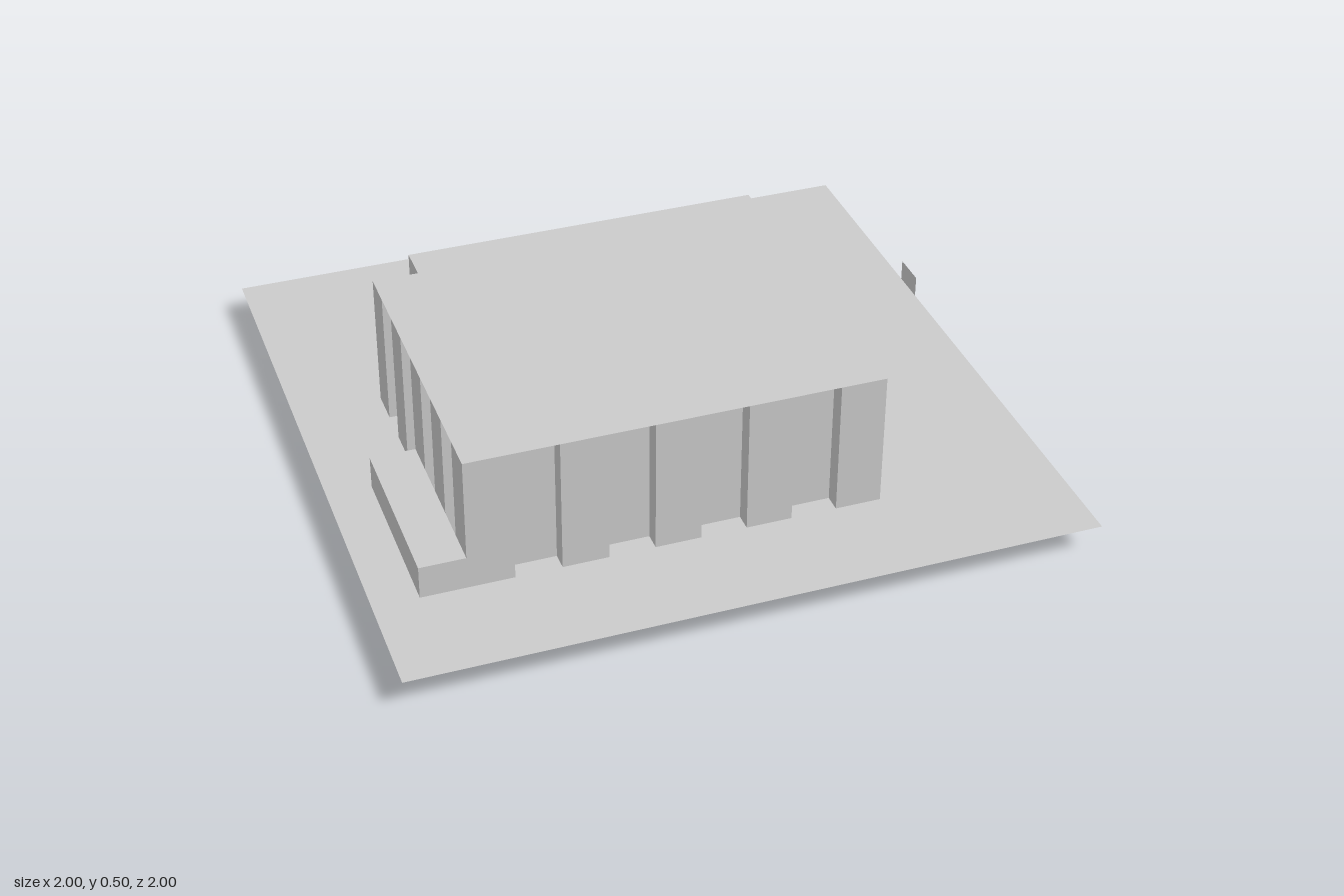
import * as THREE from 'three';

const mat = new THREE.MeshStandardMaterial({ color: 0xcccccc, side: THREE.DoubleSide, flatShading: true });
const G = 0.095; // ground level

function add(group, name, geo) {
  const m = new THREE.Mesh(geo, mat);
  m.name = name;
  group.add(m);
  return m;
}

// Walls between two matching outlines of [x, z] points (outline runs front +x, right -z, back -x, left +z)
function loft(low, y0, high, y1, closed = true) {
  const pos = [];
  const n = low.length;
  for (let i = 0; i < (closed ? n : n - 1); i++) {
    const j = (i + 1) % n;
    const a = [low[i][0], y0, low[i][1]], b = [low[j][0], y0, low[j][1]];
    const c = [high[j][0], y1, high[j][1]], d = [high[i][0], y1, high[i][1]];
    pos.push(...a, ...b, ...c, ...a, ...c, ...d);
  }
  const g = new THREE.BufferGeometry();
  g.setAttribute('position', new THREE.Float32BufferAttribute(pos, 3));
  g.computeVertexNormals();
  return g;
}

// Horizontal sheet from an outline, with optional hole
function sheet(points, y, hole) {
  const v = (p) => p.map(([x, z]) => new THREE.Vector2(x, -z));
  const s = new THREE.Shape(v(points));
  if (hole) s.holes.push(new THREE.Path(v(hole)));
  return new THREE.ShapeGeometry(s).rotateX(-Math.PI / 2).translate(0, y, 0);
}

const rect = (x0, x1, z0, z1) => [[x0, z1], [x1, z1], [x1, z0], [x0, z0]];

// Walls and lid, open underneath
function block(group, name, pts, y0, y1) {
  const g = new THREE.Group();
  g.name = name;
  add(g, name + 'Walls', loft(pts, y0, pts, y1));
  add(g, name + 'Top', sheet(pts, y1));
  group.add(g);
}

// Building outline with alternating piers and recesses on three sides
function pierOutline() {
  const X0 = -0.735, X1 = 0.468, Z1 = 0.682, ux = 0.1337, uz = 0.105, dx = 0.067, dz = 0.052;
  const p = [];
  for (let i = 0; i < 9; i++) {
    const z = i % 2 ? Z1 - dz : Z1;
    p.push([X0 + i * ux, z], [X0 + (i + 1) * ux, z]);
  }
  for (let i = 0; i < 8; i++) {
    const x = i % 2 ? X1 - dx : X1;
    p.push([x, Z1 - i * uz], [x, Z1 - (i + 1) * uz]);
  }
  p.push([X1, Z1 - 8 * uz], [X1, -0.37], [-0.6, -0.37], [-0.6, -0.263]);
  for (let i = 8; i >= 0; i--) {
    const x = i % 2 ? X0 + dx : X0;
    p.push([x, Z1 - (i + 1) * uz], [x, Z1 - i * uz]);
  }
  return p;
}

export function createModel() {
  const model = new THREE.Group();
  model.name = 'buildingOnSite';

  // Ground with a shaft opening under the porch
  const shaft = rect(-0.47, -0.335, -0.58, -0.475);
  add(model, 'ground', sheet(rect(-1, 1, -1, 1), G, shaft));
  block(model, 'shaft', shaft, G, 0.163);

  // Main hall
  const walls = pierOutline();
  add(model, 'hallWalls', loft(walls, G, walls, 0.505));
  add(model, 'hallRoof', sheet([[-0.735, 0.682], [0.468, 0.682], [0.468, -0.37],
    [-0.6, -0.37], [-0.6, -0.263], [-0.735, -0.263]], 0.505));

  // Low side annex
  block(model, 'sideAnnex', rect(-0.868, -0.735, 0.157, 0.682), G, 0.195);

  // Back porch and its walkway
  block(model, 'porch', rect(-0.6, -0.2, -0.687, -0.37), G, 0.16);
  const path = [[-0.335, -0.687], [-0.335, -0.897], [-0.468, -0.897]];
  add(model, 'walkwayWalls', loft(path, G, path, 0.16, false));
  add(model, 'walkwayTop', sheet(rect(-0.468, -0.335, -0.897, -0.687), 0.16));

  // Sloped canopy against the back wall
  const foot = [[-0.2, -0.37], [-0.2, -0.475], [-0.6, -0.475], [-0.6, -0.37]];
  const ridge = [[-0.3, -0.37], [-0.3, -0.371], [-0.5, -0.371], [-0.5, -0.37]];
  add(model, 'canopy', loft(foot, 0.161, ridge, 0.212));

  // Upright marker panel on the site edge
  const edge = [[1, -0.263], [1, -0.37]];
  add(model, 'edgePanel', loft(edge, G, edge, 0.16, false));

  // Shallow L-shaped basin below the ground
  const rim = [[-0.735, 0.577], [0.335, 0.577], [0.335, 0.052], [-0.2, 0.052], [-0.2, -0.263], [-0.735, -0.263]];
  const floor = [[-0.6, 0.472], [0.2, 0.472], [0.2, 0.157], [-0.335, 0.157], [-0.335, -0.158], [-0.6, -0.158]];
  add(model, 'basinSides', loft(floor, 0.066, rim, G));
  add(model, 'basinFloor', sheet(floor, 0.066));

  // Bent drain pipe
  const bend = new THREE.CatmullRomCurve3([[-0.265, 0.028, -0.05], [-0.235, 0.038, -0.062],
    [-0.2, 0.062, -0.095], [-0.19, 0.1, -0.14]].map((p) => new THREE.Vector3(...p)));
  const pipe = add(model, 'drainPipe', new THREE.TubeGeometry(bend, 16, 0.025, 16));
  pipe.material = new THREE.MeshStandardMaterial({ color: 0xcccccc, side: THREE.DoubleSide });

  return model;
}
